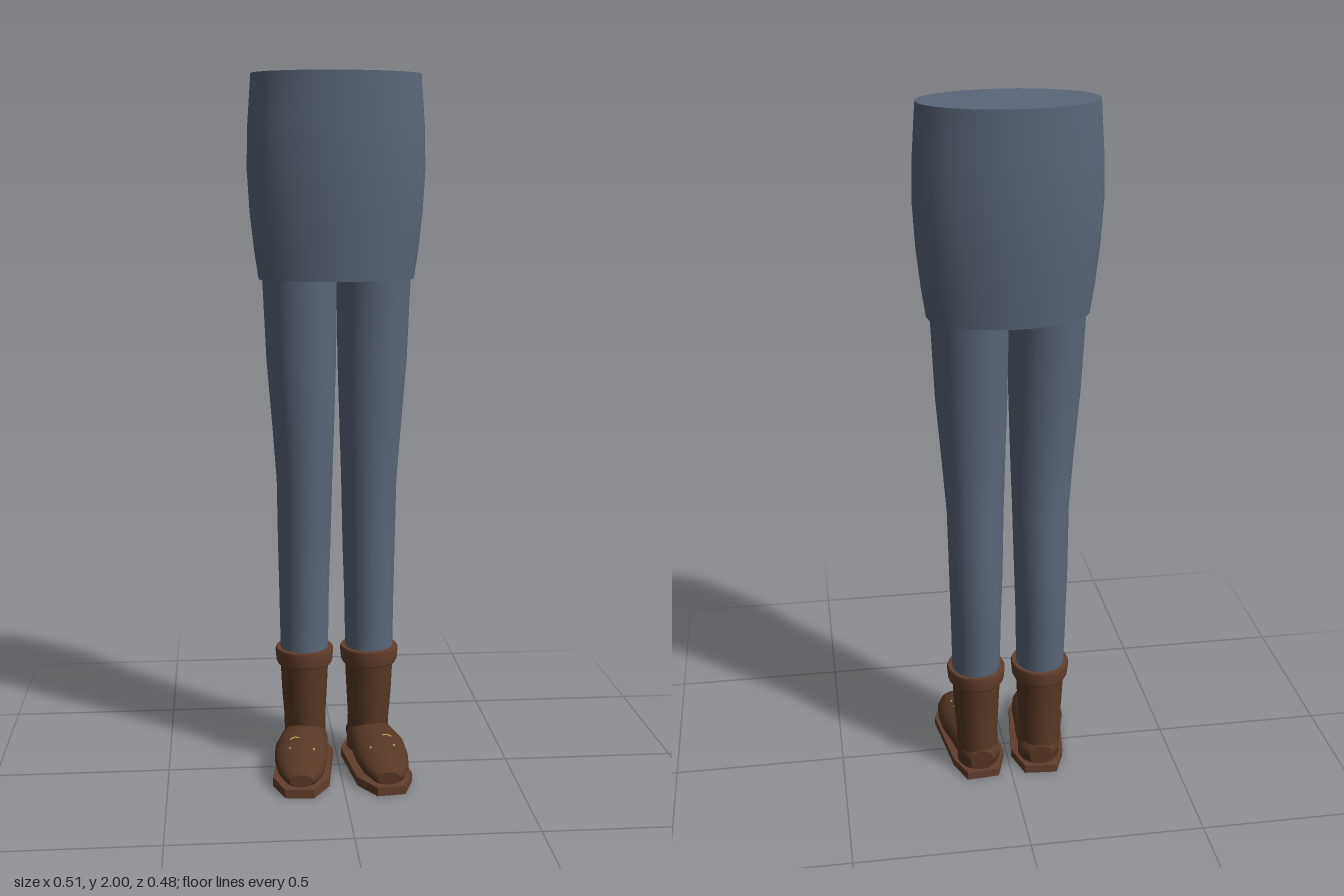
import * as THREE from 'three';

const mat = (name, color) => {
  const m = new THREE.MeshStandardMaterial({ color });
  m.name = name;
  return m;
};

// Smooth stack of ellipses [y, cx, cz, rx, rz] with sharp flat caps at both ends
function loft(rings, n = 28) {
  const pos = [], idx = [];
  const addRing = ([y, cx, cz, rx, rz]) => {
    const start = pos.length / 3;
    for (let i = 0; i < n; i++) {
      const a = (i / n) * Math.PI * 2;
      pos.push(cx + rx * Math.cos(a), y, cz + rz * Math.sin(a));
    }
    return start;
  };
  const starts = rings.map(addRing);
  for (let r = 0; r < rings.length - 1; r++) {
    for (let i = 0; i < n; i++) {
      const j = (i + 1) % n, a = starts[r], b = starts[r + 1];
      idx.push(a + i, b + i, a + j, a + j, b + i, b + j);
    }
  }
  const bottom = addRing(rings[0]), top = addRing(rings[rings.length - 1]);
  for (let i = 1; i < n - 1; i++) {
    idx.push(bottom, bottom + i, bottom + i + 1, top, top + i + 1, top + i);
  }
  const g = new THREE.BufferGeometry();
  g.setAttribute('position', new THREE.Float32BufferAttribute(pos, 3));
  g.setIndex(idx);
  g.computeVertexNormals();
  return g;
}

export function createModel() {
  const model = new THREE.Group();
  model.name = 'trousersAndBoots';
  const cloth = mat('slate blue cloth', 0x5a6678);
  const leather = mat('brown leather', 0x563826);
  const trim = mat('reddish brown trim', 0x613e2d);
  const gold = mat('golden lace', 0xc9a25a);

  const add = (parent, name, geometry, material) => {
    const m = new THREE.Mesh(geometry, material);
    m.name = name;
    parent.add(m);
    return m;
  };

  // Hips and waist
  add(model, 'hips', loft([
    [1.43, 0, -0.076, 0.222, 0.142],
    [1.51, 0, -0.077, 0.234, 0.149],
    [1.62, 0, -0.078, 0.246, 0.157],
    [1.74, 0, -0.079, 0.253, 0.161],
    [1.86, 0, -0.079, 0.25, 0.159],
    [2.0, 0, -0.079, 0.24, 0.152],
  ], 32), cloth);

  for (const s of [1, -1]) {
    const side = s > 0 ? 'left' : 'right';
    const group = new THREE.Group();
    group.name = side + 'Leg';
    model.add(group);
    // Mirror the centre of every section
    const mirrored = (rings) => rings.map(([y, cx, ...rest]) => [y, cx * s, ...rest]);

    // Trouser leg
    add(group, 'trouserLeg', loft(mirrored([
      [0.32, 0.096, -0.078, 0.07, 0.076],
      [0.5, 0.096, -0.083, 0.073, 0.082],
      [0.65, 0.095, -0.084, 0.077, 0.086],
      [0.85, 0.094, -0.074, 0.081, 0.084],
      [1.0, 0.097, -0.07, 0.089, 0.089],
      [1.2, 0.102, -0.071, 0.1, 0.102],
      [1.45, 0.106, -0.076, 0.107, 0.114],
    ])), cloth);

    // Boot shaft and cuff
    add(group, 'bootShaft', loft(mirrored([
      [0.02, 0.093, -0.087, 0.062, 0.07],
      [0.13, 0.095, -0.081, 0.061, 0.073],
      [0.2, 0.096, -0.079, 0.066, 0.075],
      [0.32, 0.096, -0.078, 0.072, 0.079],
    ])), leather);
    add(group, 'bootCuff', loft(mirrored([
      [0.297, 0.096, -0.076, 0.079, 0.085],
      [0.305, 0.096, -0.076, 0.083, 0.089],
      [0.338, 0.096, -0.076, 0.086, 0.091],
      [0.345, 0.096, -0.076, 0.083, 0.088],
    ])), trim);

    // Foot, lofted from heel to toe and turned to lie along z
    const foot = loft(mirrored([
      [-0.157, 0.09, -0.055, 0.035, 0.032],
      [-0.13, 0.09, -0.06, 0.058, 0.043],
      [-0.04, 0.1, -0.068, 0.07, 0.053],
      [0.03, 0.112, -0.068, 0.077, 0.052],
      [0.1, 0.117, -0.06, 0.076, 0.046],
      [0.16, 0.12, -0.054, 0.067, 0.038],
      [0.205, 0.122, -0.049, 0.049, 0.028],
      [0.224, 0.123, -0.046, 0.033, 0.018],
    ]));
    foot.rotateX(Math.PI / 2);
    add(group, 'bootFoot', foot, leather);

    // Angular sole
    const outline = [[0.2, 0.14], [0.17, 0.229], [0.09, 0.238], [0.04, 0.157],
      [0.012, -0.07], [0.04, -0.162], [0.135, -0.17], [0.168, -0.09]];
    const shape = new THREE.Shape(outline.map(([x, z]) => new THREE.Vector2(x * s, z)));
    const sole = new THREE.ExtrudeGeometry(shape, { depth: 0.025, bevelEnabled: false });
    sole.rotateX(Math.PI / 2).translate(0, 0.025, 0);
    add(group, 'sole', sole, trim);

    // Lace peeking out over the instep, with two tiny eyelets
    const lace = new THREE.CatmullRomCurve3([[0.12, 0.111, 0.064], [0.135, 0.111, 0.06],
      [0.148, 0.107, 0.066]].map(([x, y, z]) => new THREE.Vector3(x * s, y, z)));
    add(group, 'lace', new THREE.TubeGeometry(lace, 8, 0.003, 6), gold);
    for (const [x, y, z] of [[0.15, 0.098, 0.11], [0.082, 0.096, 0.117]]) {
      add(group, 'eyelet', new THREE.SphereGeometry(0.004, 8, 6), gold).position.set(x * s, y, z);
    }
  }
  return model;
}
